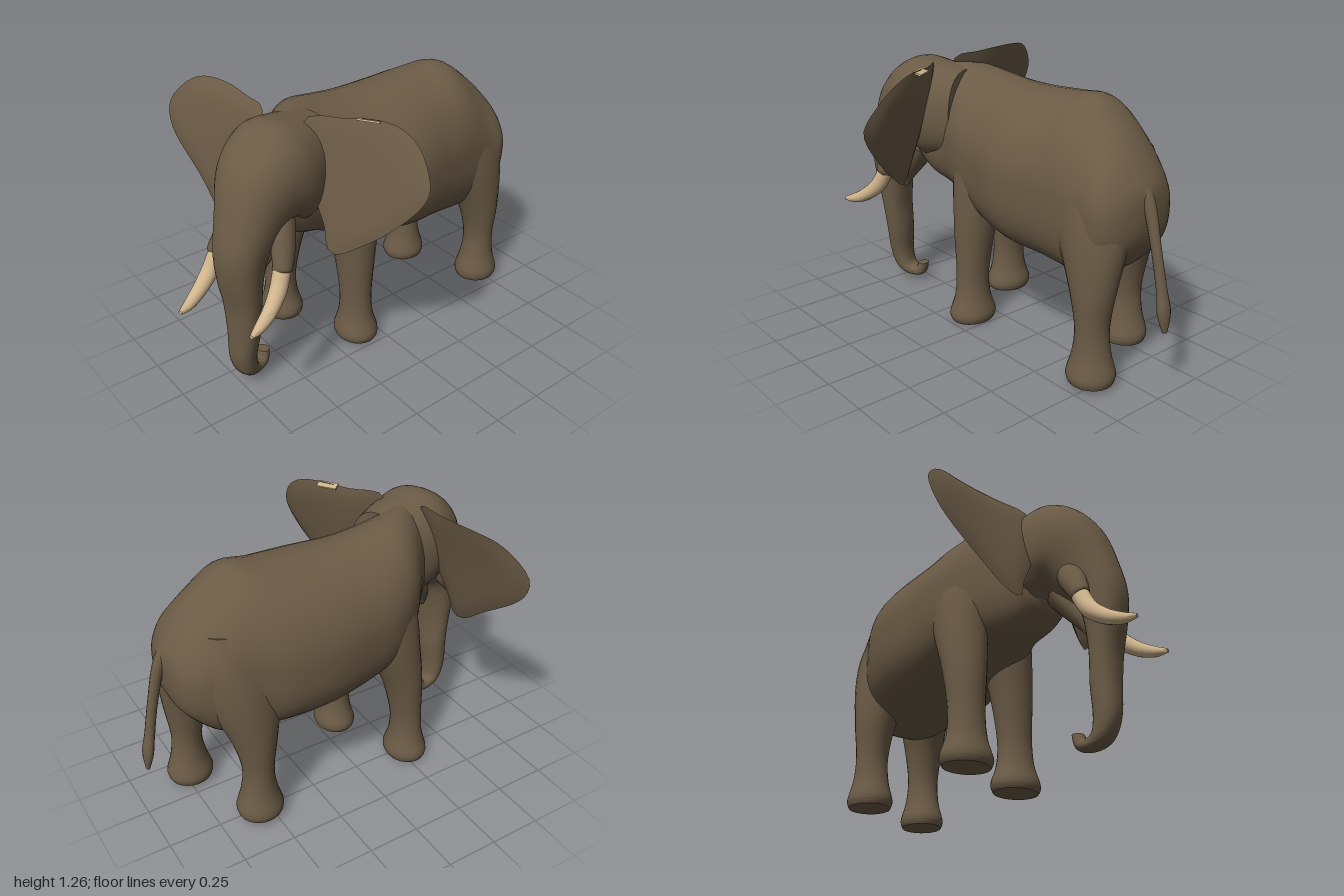
import * as THREE from 'three';
import { toCreasedNormals } from 'three/addons/utils/BufferGeometryUtils.js';

const DEG = Math.PI / 180;
const skin = new THREE.MeshStandardMaterial({ color: 0x6b5b46 });
skin.name = 'brown skin';
const ivory = new THREE.MeshStandardMaterial({ color: 0xcfb48c });
ivory.name = 'ivory';

function finish(points, faces, crease = 0.9) {
  const g = new THREE.BufferGeometry();
  g.setAttribute('position', new THREE.Float32BufferAttribute(points, 3));
  g.setIndex(faces);
  return toCreasedNormals(g, crease);
}

// Smooth interpolation of one column of a section table
function spline(rows, k, s) {
  const i = Math.min(Math.floor(s), rows.length - 2), t = s - i;
  const at = (j) => rows[Math.max(0, Math.min(rows.length - 1, j))][k];
  const a = at(i - 1), b = at(i), c = at(i + 1), d = at(i + 2);
  return b + 0.5 * t * (c - a + t * (2 * a - 5 * b + 4 * c - d + t * (3 * (b - c) + d - a)));
}

const power = (v, e) => Math.sign(v) * Math.abs(v) ** e;

// Skin sections [x, y, z, half width, half depth, tilt]:
// tilt 0 heads forward, 90 heads down, 180 heads back.
// square: exponents of the upper and lower half, 1 is an ellipse, less is boxier
function loft(rows, { yaw = 0, sides = 24, steps = 4, square = [1, 1] } = {}) {
  const pts = [], faces = [], n = (rows.length - 1) * steps, w = sides + 1;
  const cy = Math.cos(yaw * DEG), sy = Math.sin(yaw * DEG);
  const centres = [];
  for (let i = 0; i <= n; i++) {
    const [x, y, z, ru, rv, tilt] = [0, 1, 2, 3, 4, 5].map((k) => spline(rows, k, i / steps));
    centres.push([x, y, z]);
    for (let j = 0; j <= sides; j++) {
      const t = 2 * Math.PI * j / sides;
      const e = square[Math.sin(t) > 0 ? 0 : 1];
      const u = ru * power(Math.cos(t), e), v = rv * power(Math.sin(t), e);
      const f = v * Math.sin(tilt * DEG);
      pts.push(x + u * cy + f * sy, y + v * Math.cos(tilt * DEG), z - u * sy + f * cy);
      if (i < n && j < sides) {
        const a = i * w + j, b = a + w;
        faces.push(a, a + 1, b + 1, a, b + 1, b);
      }
    }
  }
  // end caps
  const c0 = pts.length / 3;
  pts.push(...centres[0], ...centres[n]);
  for (let j = 0; j < sides; j++) {
    faces.push(c0, j + 1, j, c0 + 1, n * w + j, n * w + j + 1);
  }
  return finish(pts, faces);
}

// Thin cupped ear: outline runs counterclockwise seen from the front
function ear(outline, depth) {
  const N = 48, R = 8, pts = [], faces = [];
  const curve = new THREE.CatmullRomCurve3(outline.map(([x, y]) => new THREE.Vector3(x, y, 0)), true);
  const rim = curve.getSpacedPoints(N).slice(0, N);
  const mid = rim.reduce((s, p) => s.add(p), new THREE.Vector3()).divideScalar(N);
  for (const side of [1, -1]) {
    const base = pts.length / 3;
    for (let r = 0; r <= R; r++) {
      for (let j = 0; j < N; j++) {
        const p = mid.clone().lerp(rim[j], r / R);
        pts.push(p.x, p.y, depth(p.x, p.y) + side * 0.018 * (1 - (r / R) ** 6));
        if (r === R) continue;
        const a = base + r * N + j, b = base + r * N + (j + 1) % N;
        if (side > 0) faces.push(a, a + N, b + N, a, b + N, b);
        else faces.push(a, b + N, a + N, a, b, b + N);
      }
    }
  }
  return finish(pts, faces);
}

// Leg profiles: [y, blend from top to foot, half width, half depth]
const FRONT = [[0.98, 0, 0.1, 0.13], [0.82, 0.2, 0.118, 0.15], [0.65, 0.45, 0.118, 0.13],
  [0.45, 0.8, 0.1, 0.096], [0.25, 0.97, 0.084, 0.074], [0.13, 1, 0.092, 0.08],
  [0.05, 1, 0.118, 0.1], [0.02, 1, 0.118, 0.1], [0, 1, 0.108, 0.092]];
const HIND = [[1.0, 0, 0.1, 0.13], [0.85, 0.15, 0.135, 0.185], [0.67, 0.5, 0.13, 0.172],
  [0.45, 0.9, 0.1, 0.106], [0.28, 1, 0.08, 0.073], [0.16, 1, 0.085, 0.084],
  [0.07, 1, 0.106, 0.11], [0.04, 1, 0.106, 0.11], [0.02, 1, 0.098, 0.103]];

function leg(profile, top, foot) {
  return loft(profile.map(([y, s, ru, rv]) => [
    top[0] + (foot[0] - top[0]) * s, y, top[1] + (foot[1] - top[1]) * s, ru, rv, 90]));
}

export function createModel() {
  const model = new THREE.Group();
  model.name = 'elephant';
  const add = (name, geometry, material = skin, parent = model) => {
    const mesh = new THREE.Mesh(geometry, material);
    mesh.name = name;
    parent.add(mesh);
    return mesh;
  };

  // Torso from rump to neck, ridged along the back and flat underneath
  add('body', loft([
    [-0.03, 0.80, -0.865, 0.06, 0.08, 0],
    [-0.03, 0.78, -0.84, 0.16, 0.15, 0],
    [-0.03, 0.785, -0.78, 0.225, 0.235, 0],
    [-0.05, 0.80, -0.68, 0.25, 0.33, 0],
    [-0.06, 0.835, -0.55, 0.275, 0.385, 0],
    [-0.08, 0.835, -0.4, 0.31, 0.375, 0],
    [-0.08, 0.835, -0.2, 0.33, 0.362, 0],
    [-0.088, 0.85, 0, 0.302, 0.345, 0],
    [-0.088, 0.88, 0.15, 0.28, 0.33, 0],
    [-0.07, 0.92, 0.28, 0.235, 0.31, 0],
    [0.0, 0.945, 0.4, 0.18, 0.28, 0],
    [0.04, 0.96, 0.48, 0.14, 0.22, 0],
  ], { sides: 40, square: [1.06, 0.68] }));

  // Turned head running on into the curled trunk
  add('headAndTrunk', loft([
    [0.01, 0.99, 0.27, 0.16, 0.22, 0],
    [0.04, 1.0, 0.4, 0.2, 0.24, 5],
    [0.07, 1.0, 0.5, 0.21, 0.252, 15],
    [0.10, 0.96, 0.6, 0.185, 0.195, 35],
    [0.12, 0.84, 0.66, 0.145, 0.15, 60],
    [0.135, 0.72, 0.72, 0.118, 0.11, 78],
    [0.135, 0.6, 0.735, 0.105, 0.085, 88],
    [0.13, 0.45, 0.73, 0.092, 0.062, 90],
    [0.12, 0.3, 0.728, 0.078, 0.06, 90],
    [0.11, 0.17, 0.735, 0.064, 0.055, 95],
    [0.10, 0.09, 0.715, 0.055, 0.045, 125],
    [0.085, 0.06, 0.67, 0.045, 0.032, 180],
    [0.07, 0.065, 0.62, 0.037, 0.028, 225],
    [0.065, 0.11, 0.605, 0.03, 0.025, 270],
  ], { yaw: 18, sides: 32, steps: 5, square: [0.85, 0.9] }));
  add('lowerLip', loft([
    [0.09, 0.8, 0.52, 0.09, 0.07, 60],
    [0.11, 0.69, 0.59, 0.065, 0.05, 65],
    [0.12, 0.61, 0.635, 0.035, 0.03, 70],
    [0.125, 0.55, 0.65, 0.008, 0.008, 75],
  ], { yaw: 18, sides: 16 }));

  // Splayed tusks growing from skin sheaths in the cheeks
  const sizes = [[0.04, 65], [0.039, 50], [0.033, 28], [0.024, 10], [0.009, 0]];
  const tusks = {
    rightTusk: { cheek: [0.03, 0.6], path: [[-0.015, 0.67, 0.75], [-0.012, 0.585, 0.80],
      [0.008, 0.525, 0.87], [0.036, 0.495, 0.94], [0.06, 0.492, 0.992]] },
    leftTusk: { cheek: [0.18, 0.53], path: [[0.275, 0.67, 0.612], [0.298, 0.59, 0.652],
      [0.332, 0.53, 0.72], [0.36, 0.497, 0.79], [0.381, 0.488, 0.843]] },
  };
  for (const [name, { cheek, path }] of Object.entries(tusks)) {
    const tusk = new THREE.Group();
    tusk.name = name;
    const [x, , z] = path[0];
    add('ivory', loft(path.map((p, i) => [...p, sizes[i][0], sizes[i][0], sizes[i][1]]),
      { yaw: 22, sides: 16 }), ivory, tusk);
    add('sheath', loft([
      [cheek[0], 0.92, cheek[1], 0.05, 0.05, 50],
      [(cheek[0] + x) / 2, 0.8, (cheek[1] + z) / 2, 0.058, 0.062, 60],
      [x, 0.69, z - 0.005, 0.046, 0.046, 65],
      [x, 0.665, z + 0.006, 0.04, 0.04, 64],
    ], { yaw: 22, sides: 16 }), skin, tusk);
    model.add(tusk);
  }

  // Spread ears, the left one swept back by the turn of the head
  add('rightEar', ear([
    [-0.06, 1.23], [-0.2, 1.25], [-0.45, 1.26], [-0.55, 1.24], [-0.64, 1.16], [-0.67, 1.09],
    [-0.63, 0.98], [-0.4, 0.79], [-0.27, 0.69], [-0.2, 0.68], [-0.175, 0.76], [-0.1, 0.92],
  ], (x, y) => 0.435 + 0.155 * Math.max(0, (1.26 - y) / 0.58) ** 0.7
    + 0.36 * Math.max(0, -x - 0.2) ** 1.9));
  add('leftEar', ear([
    [0.13, 1.24], [0.25, 1.25], [0.35, 1.26], [0.45, 1.25], [0.55, 1.2], [0.64, 1.1], [0.665, 1.04],
    [0.64, 0.97], [0.52, 0.82], [0.42, 0.73], [0.33, 0.67], [0.295, 0.69], [0.265, 0.78], [0.2, 0.93],
  ].reverse(), (x, y) => 0.095 + 0.95 * (0.66 - x) ** 2
    + 0.17 * Math.max(0, (1.26 - y) / 0.58) ** 1.1));
  const patch = add('earPatch', new THREE.BoxGeometry(0.1, 0.008, 0.04), ivory);
  patch.position.set(0.33, 1.25, 0.192);
  patch.rotation.set(-18 * DEG, 33 * DEG, 0, 'YXZ');

  // Legs in mid stride
  add('frontRightLeg', leg(FRONT, [-0.23, 0.13], [-0.265, 0.28]));
  add('frontLeftLeg', leg(FRONT, [0.06, 0.08], [0.122, 0.1]));
  add('hindRightLeg', leg(HIND, [-0.17, -0.6], [-0.27, -0.55]));
  add('hindLeftLeg', leg(HIND, [0.05, -0.62], [0.128, -0.725]));

  // Hanging tail with a thicker tuft
  add('tail', loft([
    [-0.03, 0.95, -0.77, 0.05, 0.03, 125], [-0.03, 0.84, -0.86, 0.03, 0.028, 112],
    [-0.03, 0.65, -0.915, 0.021, 0.024, 105], [-0.035, 0.48, -0.952, 0.025, 0.023, 102],
    [-0.035, 0.38, -0.972, 0.035, 0.024, 98], [-0.035, 0.295, -0.982, 0.012, 0.01, 90],
  ], { sides: 12 }));

  return model;
}
